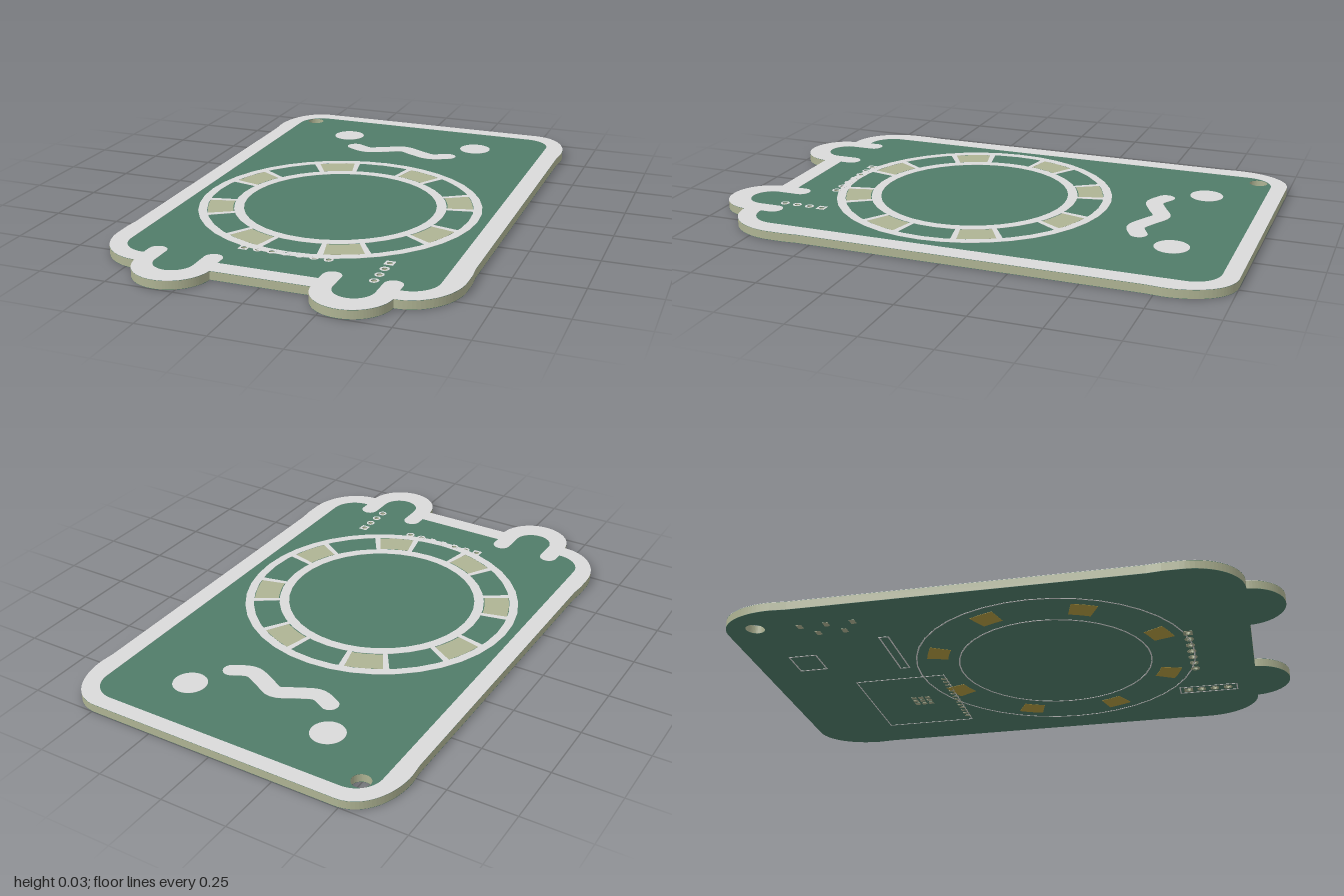
import * as THREE from 'three';

const PI = Math.PI;
const mat = (name, color) => new THREE.MeshStandardMaterial({ name, color });

export function createModel() {
  const board = new THREE.Group();
  board.name = 'circuitBoard';
  const green = mat('solderMaskGreen', 0x507c69);
  const white = mat('silkscreenWhite', 0xdadada);
  const tan = mat('substrateTan', 0xaeb393);
  const gold = mat('padGold', 0xb09a40);
  const T = 0.034, L = 0.001; // board thickness, layer thickness
  const C = [-0.005, 0.125]; // centre of the dial

  // Shapes are drawn in (x, z) and extruded downwards from the height "top"
  function plate(name, shapes, top, depth, material, parent = board) {
    const geo = new THREE.ExtrudeGeometry(shapes, { depth, bevelEnabled: false, curveSegments: 20 });
    geo.rotateX(PI / 2).translate(0, top, 0);
    const mesh = new THREE.Mesh(geo, material);
    mesh.name = name;
    parent.add(mesh);
    return mesh;
  }
  const poly = (pts) => new THREE.Shape(pts.map(([x, z]) => new THREE.Vector2(x, z)));
  const disc = (x, z, r) => new THREE.Shape().absarc(x, z, r, 0, 2 * PI, false);
  const rect = (x, z, w, d) => poly([
    [x - w / 2, z - d / 2], [x + w / 2, z - d / 2], [x + w / 2, z + d / 2], [x - w / 2, z + d / 2]]);
  function ring(x, z, r0, r1) {
    const s = disc(x, z, r1);
    s.holes.push(disc(x, z, r0));
    return s;
  }
  function frame(x, z, w, d, t = 0.008) {
    const s = rect(x, z, w, d);
    s.holes.push(rect(x, z, w - 2 * t, d - 2 * t));
    return s;
  }
  function sector(a, half, r0, r1) {
    const s = new THREE.Shape();
    s.absarc(C[0], C[1], r1, a - half, a + half, false);
    s.absarc(C[0], C[1], r0, a + half, a - half, true);
    return s;
  }

  // Rounded board edge with two feet
  function outline() {
    const s = new THREE.Shape();
    s.moveTo(-0.485, -1);
    s.lineTo(0.485, -1);
    s.bezierCurveTo(0.58, -1, 0.642, -0.9, 0.642, -0.78);
    s.lineTo(0.637, -0.72);
    s.lineTo(0.637, 0.55);
    s.lineTo(0.642, 0.6);
    s.lineTo(0.642, 0.66);
    s.bezierCurveTo(0.642, 0.78, 0.56, 0.87, 0.46, 0.87);
    for (const x of [0.32, -0.32]) s.absarc(x, 0.86, 0.14, 0.07, PI - 0.07, false);
    s.bezierCurveTo(-0.56, 0.87, -0.642, 0.78, -0.642, 0.66);
    s.lineTo(-0.642, 0.6);
    s.lineTo(-0.637, 0.55);
    s.lineTo(-0.637, -0.72);
    s.lineTo(-0.642, -0.78);
    s.bezierCurveTo(-0.642, -0.9, -0.58, -1, -0.485, -1);
    return s;
  }
  // Inner edge of the white border, with slots beside each foot
  function innerEdge() {
    const s = new THREE.Shape();
    s.moveTo(-0.57, -0.84);
    s.absarc(-0.47, -0.84, 0.1, PI, 1.5 * PI, false);
    s.absarc(0.465, -0.84, 0.1, 1.5 * PI, 2 * PI, false);
    s.absarc(0.465, 0.7, 0.1, 0, PI / 2, false);
    for (const x of [0.318, -0.325]) {
      s.lineTo(x + 0.14, 0.8);
      s.absarc(x + 0.106, 0.765, 0.034, 0, PI, true);
      s.absarc(x, 0.843, 0.072, 0, PI, false);
      s.absarc(x - 0.106, 0.765, 0.034, 0, PI, true);
      s.lineTo(x - 0.14, 0.8);
    }
    s.absarc(-0.47, 0.7, 0.1, PI / 2, PI, false);
    return s;
  }

  // Drilled holes: one lanyard hole, a row of seven and a column of four
  const pins = [];
  for (let i = 0; i < 7; i++) pins.push([-0.161 + i * 0.0523, 0.644]);
  for (let i = 0; i < 4; i++) pins.push([0.355, 0.6 + i * 0.052]);
  const drilled = () => {
    const s = outline();
    s.holes.push(disc(-0.515, -0.885, 0.035), ...pins.map(([x, z]) => disc(x, z, 0.01)));
    return s;
  };

  // Board layers
  plate('substrate', drilled(), T - 2 * L, T - 4 * L, tan);
  plate('topMask', drilled(), T - L, L, green);
  plate('bottomMask', drilled(), 2 * L, L, green);

  const front = new THREE.Group();
  front.name = 'topPrint';
  const back = new THREE.Group();
  back.name = 'bottomPrint';
  board.add(front, back);

  // White border
  const border = outline();
  border.holes.push(innerEdge());
  plate('border', border, T, L, white, front);

  // Face: eyes and wavy mouth
  plate('eyes', [disc(-0.29, -0.725, 0.063), disc(0.283, -0.725, 0.063)], T, L, white, front);
  const wave = new THREE.SplineCurve([[-0.21, -0.585], [-0.145, -0.557], [-0.075, -0.585], [-0.005, -0.617],
    [0.065, -0.585], [0.135, -0.557], [0.203, -0.585]].map(([x, z]) => new THREE.Vector2(x, z)));
  const upper = [], lower = [];
  for (let i = 0; i <= 32; i++) {
    const p = wave.getPoint(i / 32), t = wave.getTangent(i / 32);
    upper.push([p.x + t.y * 0.033, p.y - t.x * 0.033]);
    lower.unshift([p.x - t.y * 0.033, p.y + t.x * 0.033]);
  }
  plate('mouth', [poly([...upper, ...lower]), disc(-0.21, -0.585, 0.033), disc(0.203, -0.585, 0.033)],
    T, L, white, front);

  // Dial: two rings, sixteen spokes and eight light windows
  const outer = ring(...C, 0.499, 0.532);
  for (const [x, z] of pins.slice(2, 5)) outer.holes.push(disc(x, z, 0.01));
  plate('dialRings', [outer, ring(...C, 0.362, 0.399)], T, L, white, front);
  const spokes = [], windows = [], pads = [];
  for (let i = 0; i < 8; i++) {
    const a = PI / 8 + i * PI / 4;
    for (const side of [-1, 1]) spokes.push(sector(a + side * 0.165, 0.022, 0.395, 0.505));
    windows.push(sector(a, 0.143, 0.402, 0.496));
    pads.push(sector(a, 0.1, 0.41, 0.49));
  }
  plate('dialSpokes', spokes, T, L, white, front);
  plate('lightWindows', windows, T - L / 2, L, tan, front);
  plate('lightPads', pads, L, L, gold, back);

  // Solder rings around the pins, square on the first of each group
  pins.forEach(([x, z], i) => {
    const shape = i === 0 || i === 7 ? rect(x, z, 0.034, 0.034) : disc(x, z, 0.017);
    shape.holes.push(disc(x, z, 0.01));
    plate('pinPadTop', shape, T + L / 2, L, white, front);
    plate('pinPadBottom', shape, L, L, tan, back);
  });

  // Underside: thin part outlines and component footprints
  plate('dialLines', [ring(...C, 0.365, 0.37), ring(...C, 0.528, 0.533)], L, L, white, back);
  plate('partOutlines', [frame(0.24, -0.5, 0.46, 0.36, 0.004), frame(-0.2, -0.8, 0.13, 0.11, 0.005),
    frame(-0.22, -0.45, 0.28, 0.04, 0.005), frame(0.355, 0.68, 0.06, 0.23, 0.005)], L, L, white, back);
  const feet = [];
  for (let i = 0; i < 9; i++) feet.push(rect(0.21 + (i % 3) * 0.028, -0.5 + Math.floor(i / 3) * 0.028, 0.02, 0.02));
  for (let i = 0; i < 14; i++) {
    feet.push(rect(0.05 + i * 0.029, -0.33, 0.012, 0.025));
    if (i < 5) feet.push(rect(-0.5 + (i % 2) * 0.06, -0.72 + i * 0.05, 0.03, 0.02));
  }
  plate('footprints', feet, L, L, tan, back);

  return board;
}
